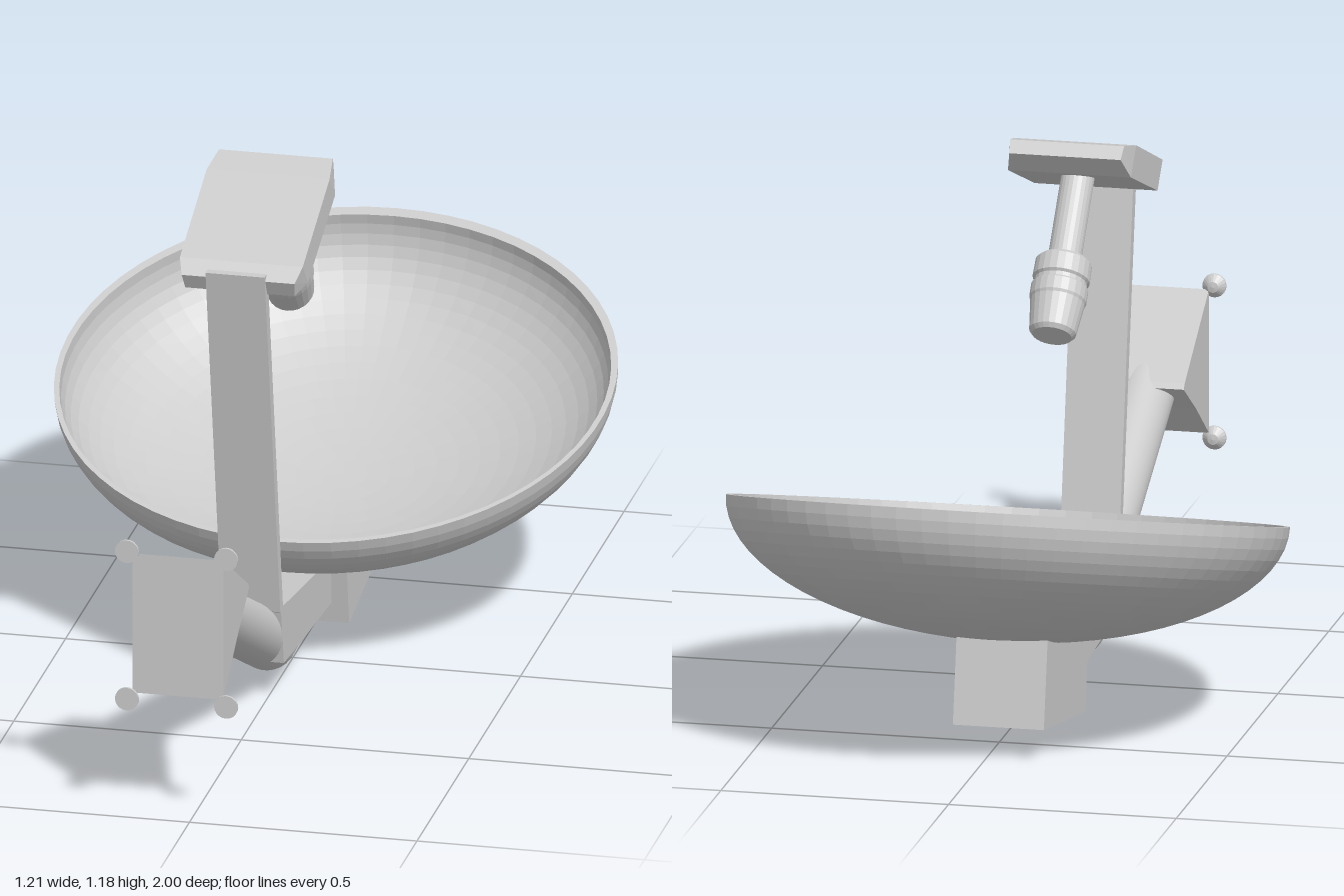
import * as THREE from 'three';
import { ConvexGeometry } from 'three/addons/geometries/ConvexGeometry.js';

const CX = -0.028; // the mount and feed sit slightly off the dish centre
const smooth = new THREE.MeshStandardMaterial({ color: 0xcccccc });
const flat = new THREE.MeshStandardMaterial({ color: 0xcccccc, flatShading: true });

export function createModel() {
  const model = new THREE.Group();

  const add = (name, geometry, material = flat) => {
    const mesh = new THREE.Mesh(geometry, material);
    mesh.name = name;
    model.add(mesh);
    return mesh;
  };

  // Side outline given as [z, y] points, extruded across x
  const sideExtrude = (name, points, width) => {
    const shape = new THREE.Shape(points.map(([z, y]) => new THREE.Vector2(z, y)));
    const geometry = new THREE.ExtrudeGeometry(shape, { depth: width, bevelEnabled: false });
    geometry.translate(0, 0, -width / 2).rotateY(-Math.PI / 2).translate(CX, 0, 0);
    return add(name, geometry);
  };

  // Round bar between two [z, y] points
  const bar = (name, [z0, y0], [z1, y1], radius) => {
    const a = new THREE.Vector3(CX, y0, z0), b = new THREE.Vector3(CX, y1, z1);
    const mesh = add(name, new THREE.CylinderGeometry(radius, radius, a.distanceTo(b), 32), smooth);
    mesh.position.copy(a).add(b).multiplyScalar(0.5);
    mesh.quaternion.setFromUnitVectors(new THREE.Vector3(0, 1, 0), b.sub(a).normalize());
    return mesh;
  };

  // Dish: outer and inner bowl joined by a rim
  const STEPS = 18, INNER_DEPTH = 0.264;
  const profile = [];
  const bowl = (radius, depth, reverse) => {
    for (let i = 0; i <= STEPS; i++) {
      const a = ((reverse ? STEPS - i : i) / STEPS) * Math.PI / 2;
      profile.push(new THREE.Vector2(radius * Math.sin(a), -depth * Math.cos(a)));
    }
  };
  bowl(0.606, 0.283, false);
  bowl(0.593, INNER_DEPTH, true);
  const dishGeometry = new THREE.LatheGeometry(profile, 64);
  // Draw the inner edge forward at the back, fading towards the bottom
  const pos = dishGeometry.attributes.position;
  for (let i = 0; i < pos.count; i++) {
    if (i % profile.length <= STEPS) continue;
    const fade = 1 + pos.getY(i) / INNER_DEPTH;
    pos.setZ(i, pos.getZ(i) * (1 - 0.013 * fade) + 0.008 * fade);
  }
  const dish = add('dish', dishGeometry);
  dish.position.set(0, 0.4925, -0.415);
  dish.rotation.x = 0.271;

  // Box carrying the dish
  sideExtrude('dishMount',
    [[-0.225, 0], [-0.195, 0.18], [-0.4, 0.204], [-0.598, 0.262], [-0.635, 0.072]], 0.2);

  // Bent support arm and its bracket
  bar('armTube', [0.85, 0.442], [0.13, 0.087], 0.065);
  bar('armTubeEnd', [0.13, 0.087], [-0.22, 0.112], 0.065);
  const elbow = add('armElbow', new THREE.SphereGeometry(0.065, 32, 16), smooth);
  elbow.position.set(CX, 0.087, 0.13);
  sideExtrude('armBracket', [[0.28, 0.223], [0.25, 0.085], [0.13, 0.075], [-0.21, 0.05], [-0.21, 0.152]], 0.13);

  // Wall mount with four corner bolts
  sideExtrude('wallMount', [[0.988, 0.603], [0.75, 0.46], [0.74, 0.448], [0.86, 0.373], [0.988, 0.283]], 0.2);
  for (const x of [-0.11, 0.108]) {
    for (const y of [0.271, 0.61]) {
      const bolt = add('wallBolt', new THREE.LatheGeometry([
        [0, -0.022], [0.012, -0.02], [0.02, -0.012], [0.026, -0.006], [0.026, 0], [0, 0],
      ].map(([r, h]) => new THREE.Vector2(r, h)), 20));
      bolt.rotation.x = Math.PI / 2;
      bolt.position.set(CX + x, y, 1);
    }
  }

  // Flat post rising from the bracket
  sideExtrude('feedPost', [[0.285, 0.215], [0.437, 1.042], [0.407, 1.042], [0.256, 0.2]], 0.13);

  // Feed head: slab with tapered ends, each row is z, y, half width
  const corners = [];
  for (const [z, y, w] of [
    [0.43, 1.03, 0.124], [0.412, 0.995, 0.12], [0.398, 1.058, 0.135], [0.348, 1.003, 0.135],
    [0.139, 1.162, 0.135], [0.086, 1.105, 0.135], [0.064, 1.18, 0.125], [0.043, 1.155, 0.122],
  ]) {
    for (const s of [-1, 1]) corners.push(new THREE.Vector3(-0.023 + s * w, y, z));
  }
  add('feedHead', new ConvexGeometry(corners));

  // Feed rod and ringed horn aimed at the dish
  const horn = add('feedHorn', new THREE.LatheGeometry([
    [0, -0.03], [0.036, -0.03], [0.036, 0.2], [0.052, 0.203], [0.061, 0.212], [0.062, 0.252],
    [0.057, 0.257], [0.057, 0.266], [0.062, 0.271], [0.062, 0.3], [0.059, 0.306],
    [0.051, 0.377], [0.043, 0.386], [0, 0.386],
  ].map(([r, y]) => new THREE.Vector2(r, y)), 24));
  horn.position.set(CX, 1.085, 0.15);
  horn.rotation.x = Math.PI + 0.732;

  return model;
}
